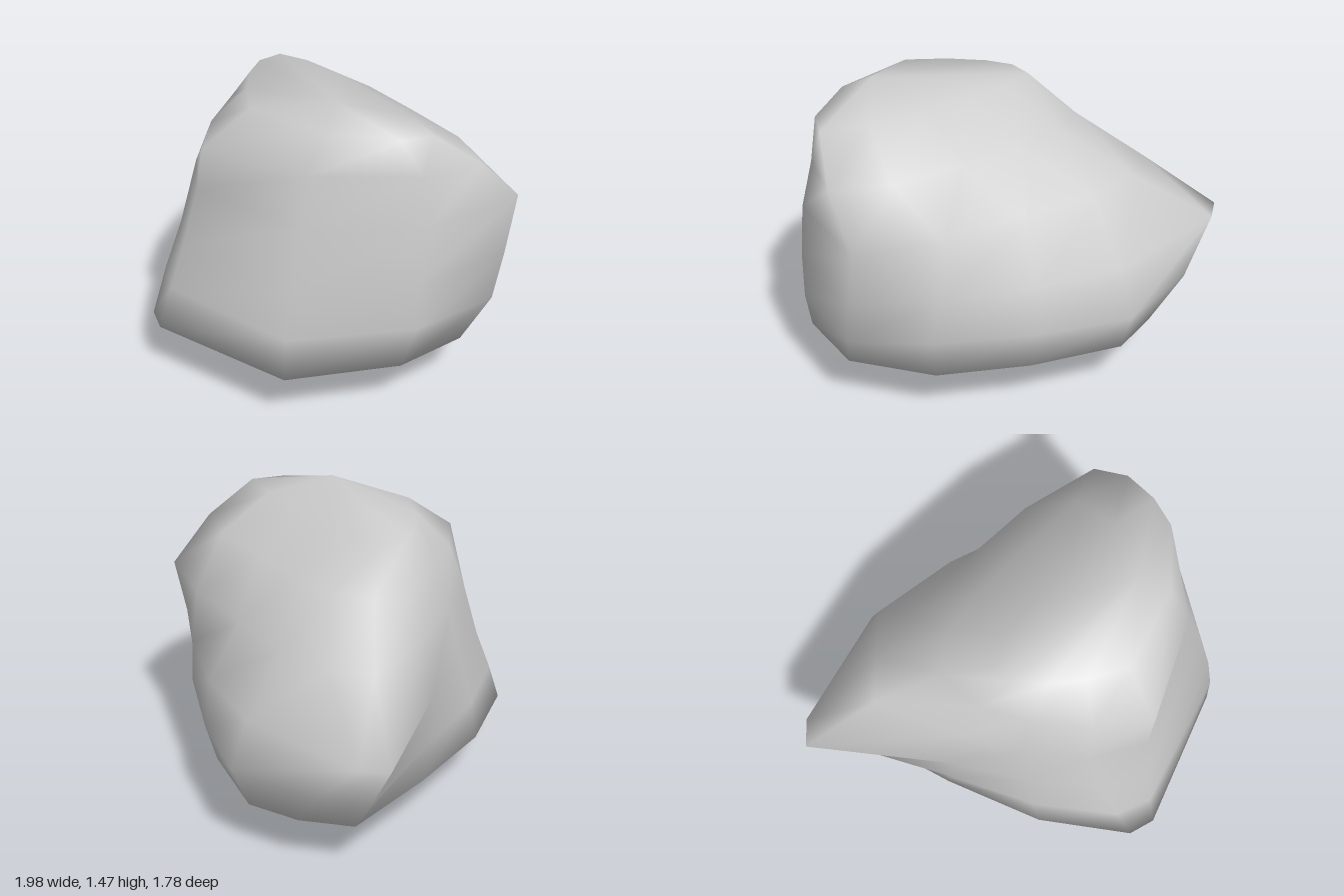
import * as THREE from 'three';

// Horizontal cross-sections from bottom to top: height, then twelve x, z corners
// running front -> right -> back -> left.
const sections = [
  { y: 0.27, ring: [0, 0.89, 0.7, 0.65, 0.92, 0.15, 0.91, -0.22, 0.62, -0.54, 0.2, -0.71, -0.25, -0.81, -0.5, -0.7, -0.7, -0.52, -0.57, -0.02, -0.4, 0.46, -0.13, 0.85] },
  { y: 0.48, ring: [0.02, 0.83, 0.7, 0.64, 0.97, 0.1, 0.97, -0.35, 0.66, -0.57, 0.2, -0.77, -0.24, -0.89, -0.68, -0.73, -0.86, -0.55, -0.58, 0.02, -0.4, 0.42, -0.15, 0.76] },
  { y: 0.71, ring: [0.05, 0.77, 0.69, 0.6, 0.97, 0.1, 0.98, -0.4, 0.62, -0.58, 0.2, -0.73, -0.24, -0.8, -0.9, -0.65, -1, -0.55, -0.57, 0.03, -0.37, 0.37, -0.15, 0.66] },
  { y: 1.0, ring: [0.08, 0.7, 0.66, 0.52, 0.97, 0.05, 0.98, -0.46, 0.58, -0.56, 0.15, -0.58, -0.22, -0.59, -0.5, -0.53, -0.66, -0.38, -0.5, 0.03, -0.34, 0.31, -0.17, 0.55] },
  { y: 1.22, ring: [0.12, 0.69, 0.61, 0.47, 0.91, 0.05, 0.97, -0.24, 0.7, -0.33, 0.35, -0.34, 0.02, -0.34, -0.22, -0.3, -0.39, -0.18, -0.38, 0.06, -0.28, 0.27, -0.1, 0.5] },
];
const bottomPoint = [-0.13, 0, -0.25];
const topPoint = [0.5, 1.47, 0.22];

// A bevel section: a ring drawn in toward a pole by separate x and z amounts
function drawIn({ ring }, pole, y, tx, tz) {
  return {
    y,
    ring: ring.map((v, i) => (i % 2 ? v + (pole[2] - v) * tz : v + (pole[0] - v) * tx)),
  };
}

function loftGeometry() {
  const levels = [
    drawIn(sections[0], bottomPoint, 0.09, 0.45, 0.47),
    ...sections,
    drawIn(sections[sections.length - 1], topPoint, 1.39, 0.17, 0.48),
  ];
  const n = levels[0].ring.length / 2;
  const positions = [];
  const index = [];
  for (const { y, ring } of levels) {
    for (let i = 0; i < n; i++) positions.push(ring[2 * i], y, ring[2 * i + 1]);
  }
  const last = (levels.length - 1) * n;
  const bottom = levels.length * n;
  const top = bottom + 1;
  positions.push(...bottomPoint, ...topPoint);

  for (let i = 0; i < n; i++) {
    const j = (i + 1) % n;
    // Walls between neighbouring sections
    for (let s = 0; s < last; s += n) {
      const a = s + i, b = s + j, c = a + n, d = b + n;
      index.push(a, b, d, a, d, c);
    }
    // Underside and crown
    index.push(j, i, bottom, last + i, last + j, top);
  }

  const geometry = new THREE.BufferGeometry();
  geometry.setAttribute('position', new THREE.Float32BufferAttribute(positions, 3));
  geometry.setIndex(index);
  geometry.computeVertexNormals();
  return geometry;
}

export function createModel() {
  const group = new THREE.Group();
  group.name = 'boulder';
  const rock = new THREE.Mesh(loftGeometry(), new THREE.MeshStandardMaterial({ color: 0xcccccc }));
  rock.name = 'rock';
  group.add(rock);
  return group;
}
